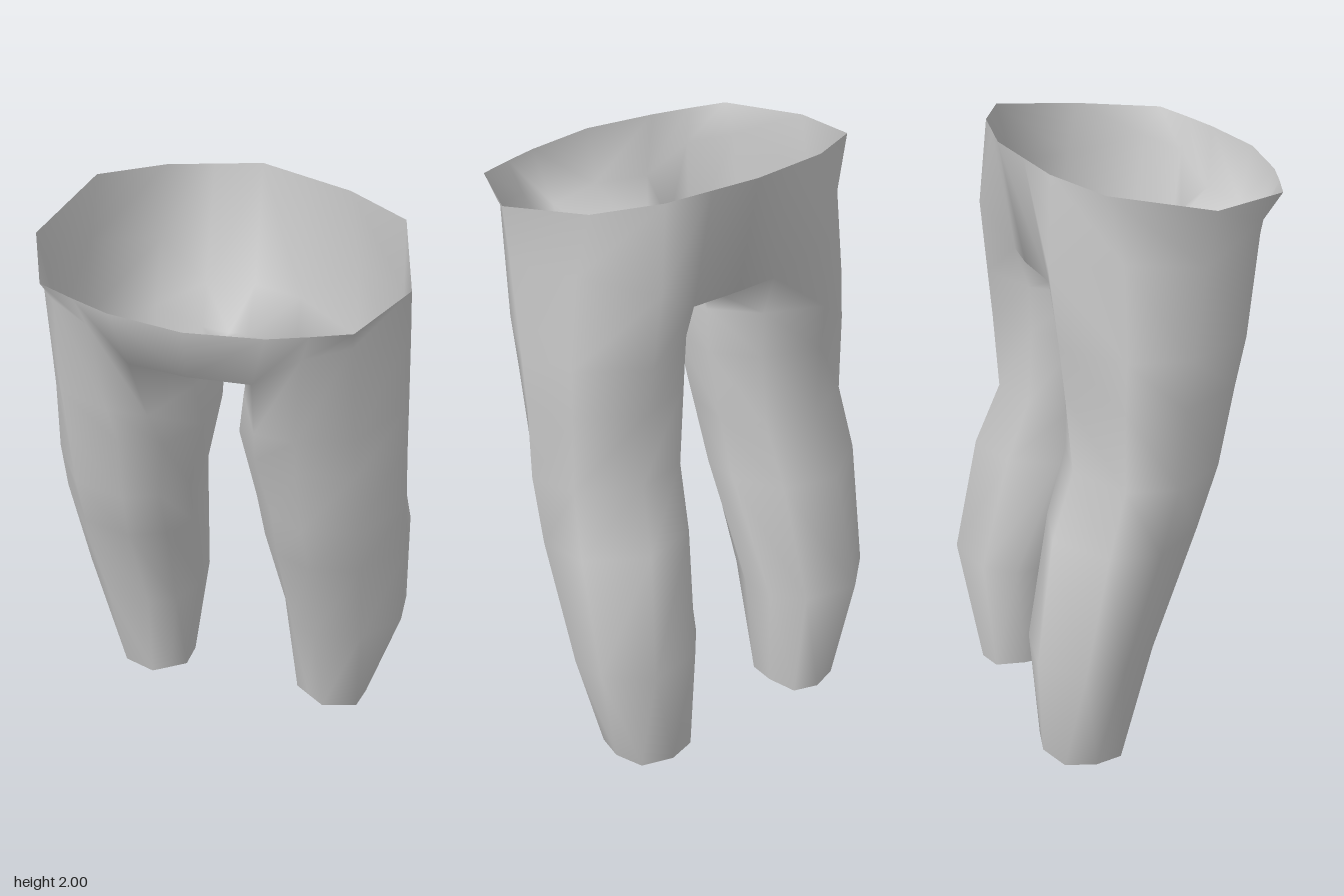
import * as THREE from 'three';
import { mergeVertices } from 'three/addons/utils/BufferGeometryUtils.js';

// Half rings of the hips, [x, y, z] from centre front around the left side to centre back.
const waist = [
  [0, 1.89, 0.45], [0.24, 1.89, 0.415], [0.36, 1.895, 0.375], [0.48, 1.9, 0.33], [0.59, 1.91, 0.07],
  [0.5, 1.965, -0.24], [0.3, 1.98, -0.34], [0.15, 1.99, -0.37], [0, 2, -0.4],
];
const hip = [
  [0, 1.71, 0.41], [0.19, 1.7, 0.38], [0.33, 1.79, 0.345], [0.465, 1.81, 0.27], [0.59, 1.74, 0.04],
  [0.515, 1.75, -0.19], [0.33, 1.7, -0.36], [0.16, 1.59, -0.3], [0, 1.6, -0.32],
];

// Crotch saddle: seam on the centre plane and its edge on the inner thigh, front to back.
const seam = [[0, 1.6, 0.13], [0, 1.525, -0.14]];
const innerThigh = [[0.1, 1.56, 0.09], [0.03, 1.525, -0.13]];

// Leg rings: height, then [x, z] pairs from front inner around the outside and back to the inside.
const legRings = [
  [1.45, [[0.17, 0.28], [0.3, 0.29], [0.475, 0.225], [0.59, 0], [0.545, -0.195], [0.345, -0.335], [0.16, -0.255], [0.04, -0.12], [0.08, 0.08]]],
  [1.29, [[0.15, 0.2], [0.29, 0.23], [0.475, 0.19], [0.59, -0.02], [0.55, -0.2], [0.35, -0.32], [0.16, -0.25], [0.05, -0.12], [0.06, 0.06]]],
  [1.03, [[0.19, 0.13], [0.3, 0.18], [0.475, 0.14], [0.595, -0.04], [0.55, -0.2], [0.36, -0.3], [0.18, -0.26], [0.1, -0.12], [0.115, 0.04]]],
  [0.82, [[0.19, 0.06], [0.31, 0.11], [0.475, 0.07], [0.6, -0.1], [0.57, -0.26], [0.39, -0.38], [0.2, -0.33], [0.115, -0.17], [0.125, -0.03]]],
  [0.41, [[0.21, -0.085], [0.3, -0.04], [0.46, -0.07], [0.57, -0.21], [0.56, -0.335], [0.43, -0.45], [0.24, -0.415], [0.16, -0.32], [0.155, -0.2]]],
  [0.01, [[0.26, -0.16], [0.32, -0.125], [0.435, -0.17], [0.45, -0.26], [0.42, -0.36], [0.32, -0.4], [0.23, -0.38], [0.205, -0.28], [0.21, -0.19]]],
];

export function createModel() {
  const positions = [];

  // Adds a quad and its mirror image, corners counter-clockwise from outside.
  const quad = (a, b, c, d) => {
    for (const p of [a, b, c, a, c, d]) positions.push(...p);
    for (const p of [a, c, b, a, d, c]) positions.push(-p[0], p[1], p[2]);
  };

  // Hips
  for (let i = 0; i < 8; i++) quad(hip[i], hip[i + 1], waist[i + 1], waist[i]);

  // Crotch saddle between the legs
  quad(seam[0], innerThigh[0], hip[1], hip[0]);
  quad(seam[1], innerThigh[1], innerThigh[0], seam[0]);
  quad(hip[8], hip[7], innerThigh[1], seam[1]);

  // Legs from the hips down to the open hem, which dips slightly on the outside
  const rings = [
    [...hip.slice(1, 8), innerThigh[1], innerThigh[0]],
    ...legRings.map(([y, pts]) =>
      pts.map(([x, z]) => [x, y < 0.1 ? Math.max(0, 0.036 - 0.08 * x) : y, z])),
  ];
  for (let r = 0; r < rings.length - 1; r++) {
    for (let i = 0; i < 9; i++) {
      const j = (i + 1) % 9;
      quad(rings[r + 1][i], rings[r + 1][j], rings[r][j], rings[r][i]);
    }
  }

  let geometry = new THREE.BufferGeometry();
  geometry.setAttribute('position', new THREE.Float32BufferAttribute(positions, 3));
  geometry = mergeVertices(geometry, 1e-4);
  geometry.computeVertexNormals();

  const trousers = new THREE.Mesh(
    geometry,
    new THREE.MeshStandardMaterial({ color: 0xcccccc, side: THREE.DoubleSide }),
  );
  trousers.name = 'trousers';

  const model = new THREE.Group();
  model.name = 'trousersModel';
  model.add(trousers);
  return model;
}
